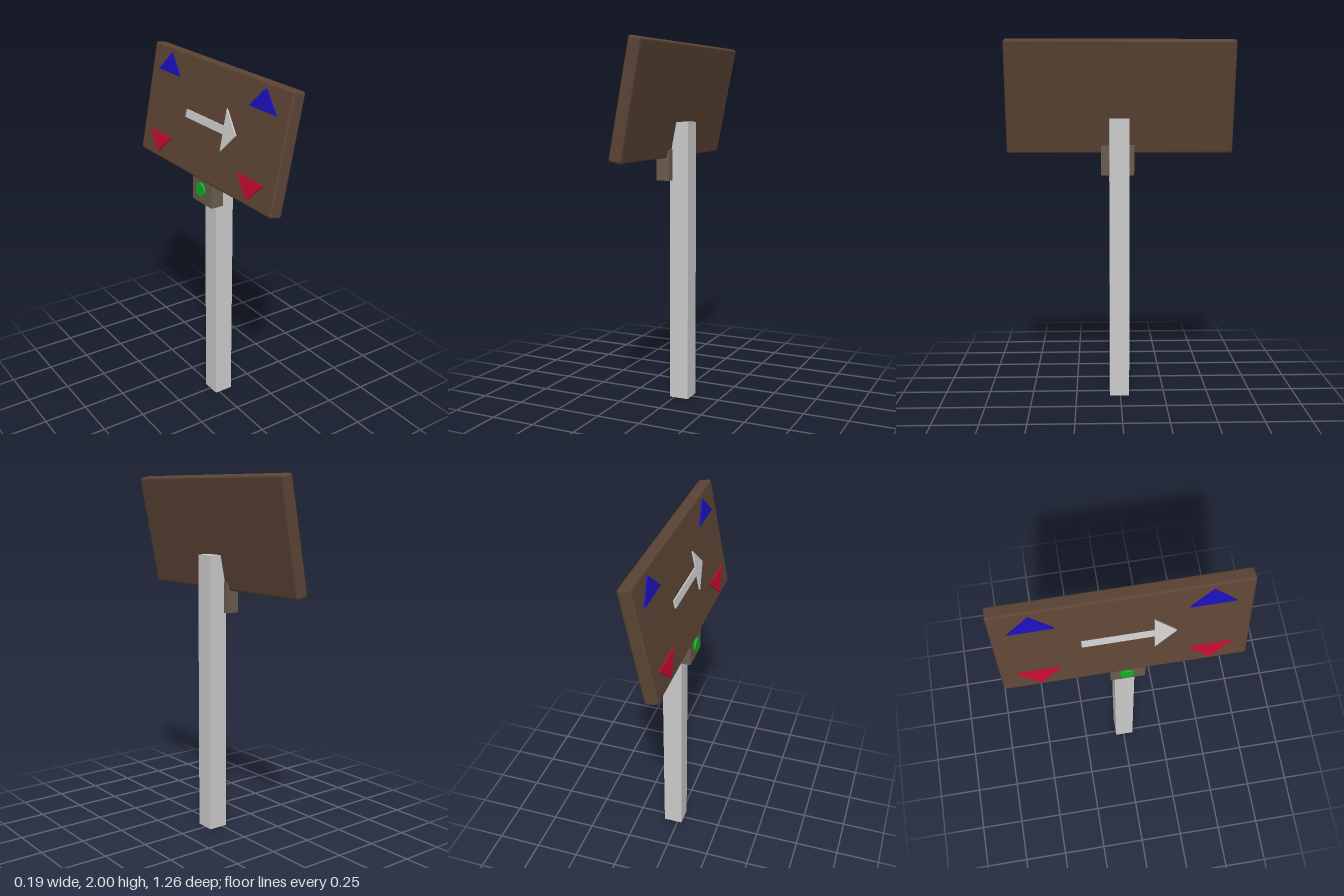
import * as THREE from 'three';
import { RoundedBoxGeometry } from 'three/addons/geometries/RoundedBoxGeometry.js';

const material = (color) => new THREE.MeshStandardMaterial({ color });

function addMesh(parent, name, geometry, mat, x = 0, y = 0, z = 0) {
  const mesh = new THREE.Mesh(geometry, mat);
  mesh.name = name;
  mesh.position.set(x, y, z);
  parent.add(mesh);
  return mesh;
}

// Thin plate from [z, y] outline points, raised towards -x
function plate(points, depth) {
  const shape = new THREE.Shape(points.map(([z, y]) => new THREE.Vector2(z, y)));
  return new THREE.ExtrudeGeometry(shape, { depth, bevelEnabled: false }).rotateY(-Math.PI / 2);
}

export function createModel() {
  const model = new THREE.Group();
  const grey = material(0xcccccc);
  const brown = material(0x5c4435);
  const blue = material(0x1a10b8);
  const red = material(0xc00a30);

  // Square post
  addMesh(model, 'post', new THREE.BoxGeometry(0.11, 1.57, 0.11), grey, 0.03, 0.785, 0.005);

  // Control box with a round button
  addMesh(model, 'controlBox', new THREE.BoxGeometry(0.075, 0.17, 0.185), material(0x6a5c4c), -0.0475, 1.335, 0.0125);
  const button = new THREE.CylinderGeometry(0.037, 0.04, 0.02, 32).rotateZ(Math.PI / 2);
  addMesh(model, 'button', button, material(0x10b020), -0.0875, 1.33, 0.0075);

  // Tilted panel, carrying its markings on the -x face
  const panel = new THREE.Group();
  panel.name = 'panel';
  panel.position.set(0, 1.6875, 0);
  panel.rotation.z = -0.193;
  model.add(panel);
  const thickness = 0.073;
  const face = -thickness / 2;
  addMesh(panel, 'board', new RoundedBoxGeometry(thickness, 0.627, 1.265, 2, 0.013), brown);

  // Corner triangles: blue point up, red point down
  for (const z of [-0.437, 0.433]) {
    const up = plate([[-0.111, 0.173], [0.111, 0.173], [0, 0.283]], 0.008);
    const down = plate([[-0.111, -0.173], [0, -0.283], [0.111, -0.173]], 0.008);
    addMesh(panel, 'upTriangle', up, blue, face, 0, z);
    addMesh(panel, 'downTriangle', down, red, face, 0, z);
  }

  // Arrow along the panel
  const arrow = plate([
    [-0.21, -0.022], [0.15, -0.022], [0.15, -0.113], [0.26, 0],
    [0.15, 0.113], [0.15, 0.022], [-0.21, 0.022],
  ], 0.008);
  addMesh(panel, 'arrow', arrow, grey, face);

  return model;
}
